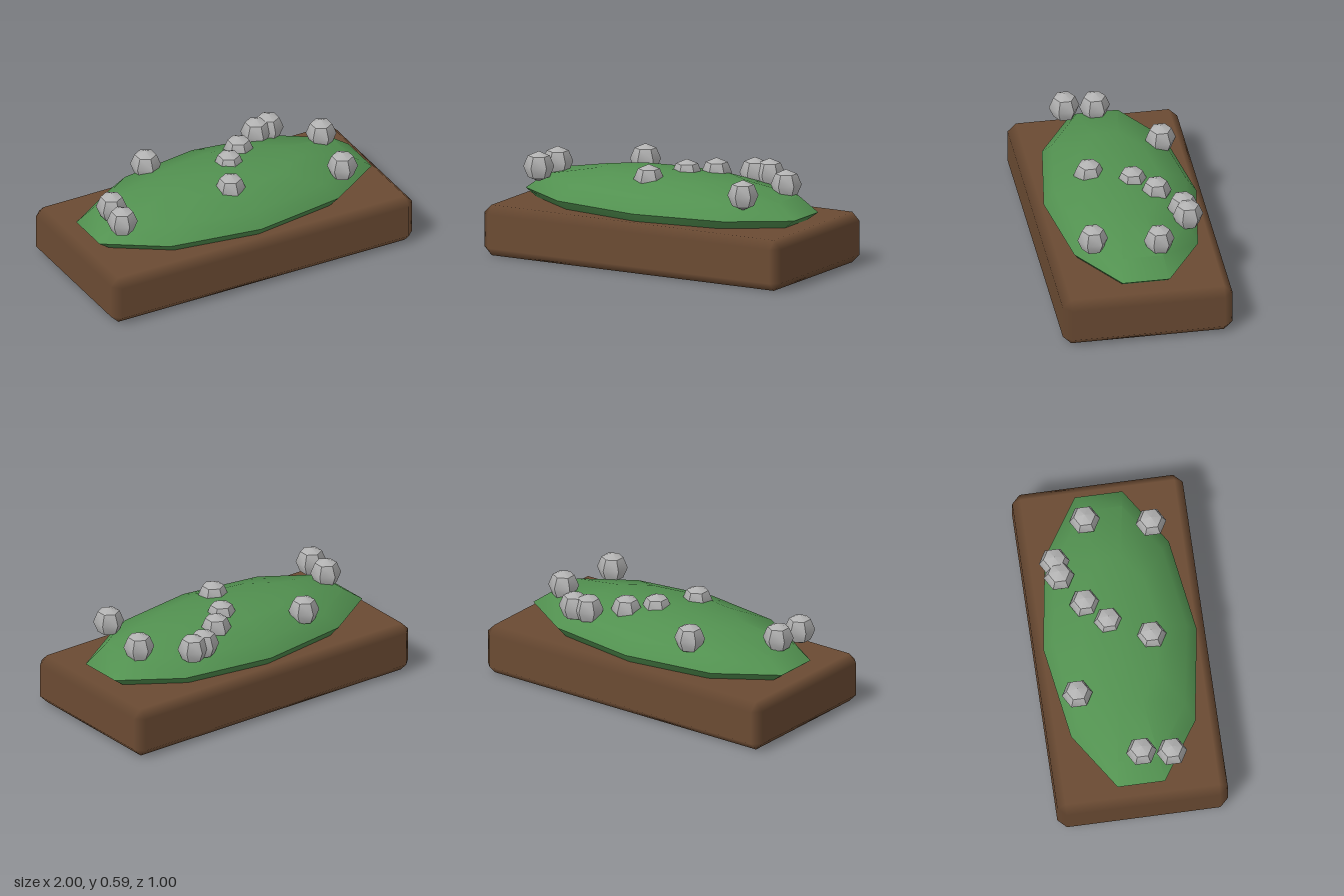
import * as THREE from 'three';
import { toCreasedNormals } from 'three/addons/utils/BufferGeometryUtils.js';
import { ConvexGeometry } from 'three/addons/geometries/ConvexGeometry.js';

const CREASE = THREE.MathUtils.degToRad(42);

function material(name, color) {
  const m = new THREE.MeshStandardMaterial({ color });
  m.name = name;
  return m;
}

// Box with one straight chamfer on every edge; normals blend across the chamfers
function chamferedBox(w, h, d, bevel) {
  const half = [w / 2, h / 2, d / 2];
  const points = [];
  for (let axis = 0; axis < 3; axis++) {
    for (const sx of [-1, 1]) for (const sy of [-1, 1]) for (const sz of [-1, 1]) {
      const p = [sx, sy, sz].map((s, i) => s * (half[i] - (i === axis ? 0 : bevel)));
      points.push(new THREE.Vector3(...p));
    }
  }
  const geometry = new ConvexGeometry(points);
  const pos = geometry.attributes.position;
  const normal = geometry.attributes.normal;
  for (let i = 0; i < pos.count; i++) {
    const p = [pos.getX(i), pos.getY(i), pos.getZ(i)];
    const n = p.map((v, k) => (Math.abs(v) > half[k] - bevel / 2 ? Math.sign(v) : 0));
    normal.setXYZ(i, ...n);
  }
  return geometry;
}

// Low-poly ellipsoid with a corner pointing along z
function ellipsoid(rx, ry, rz, sides, rings) {
  const g = new THREE.SphereGeometry(1, sides, rings);
  g.rotateY(Math.PI / 2);
  g.scale(rx, ry, rz);
  return toCreasedNormals(g, CREASE);
}

export function createModel() {
  const soil = material('soil brown', 0x6b4b33);
  const grass = material('grass green', 0x529150);
  const stone = material('stone grey', 0xb2b2b2);
  const model = new THREE.Group();
  model.name = 'stonyMound';

  const add = (name, geometry, mat, x, y, z, parent = model) => {
    const mesh = new THREE.Mesh(geometry, mat);
    mesh.name = name;
    mesh.position.set(x, y, z);
    parent.add(mesh);
  };

  // Earth slab
  add('earthBase', chamferedBox(2, 0.3, 1, 0.05), soil, 0, 0.15, 0);

  // Grassy dome, its lower half sunk in the slab
  add('grassMound', ellipsoid(0.95, 0.18, 0.45, 10, 6), grass, 0, 0.35, 0);

  // Scattered pebbles, all at one height
  const pebbles = new THREE.Group();
  pebbles.name = 'pebbles';
  model.add(pebbles);
  const pebble = ellipsoid(0.09, 0.09, 0.09, 6, 4);
  const spots = [
    [-0.355, -0.3], [0.38, -0.305], [0.47, -0.32], [0.195, -0.18], [0.065, -0.06],
    [0.705, -0.11], [0.637, 0.27], [-0.053, 0.175], [-0.758, 0.02], [-0.783, 0.195],
  ];
  spots.forEach(([x, z], i) => add(`pebble${i + 1}`, pebble, stone, x, 0.5, z, pebbles));

  return model;
}
